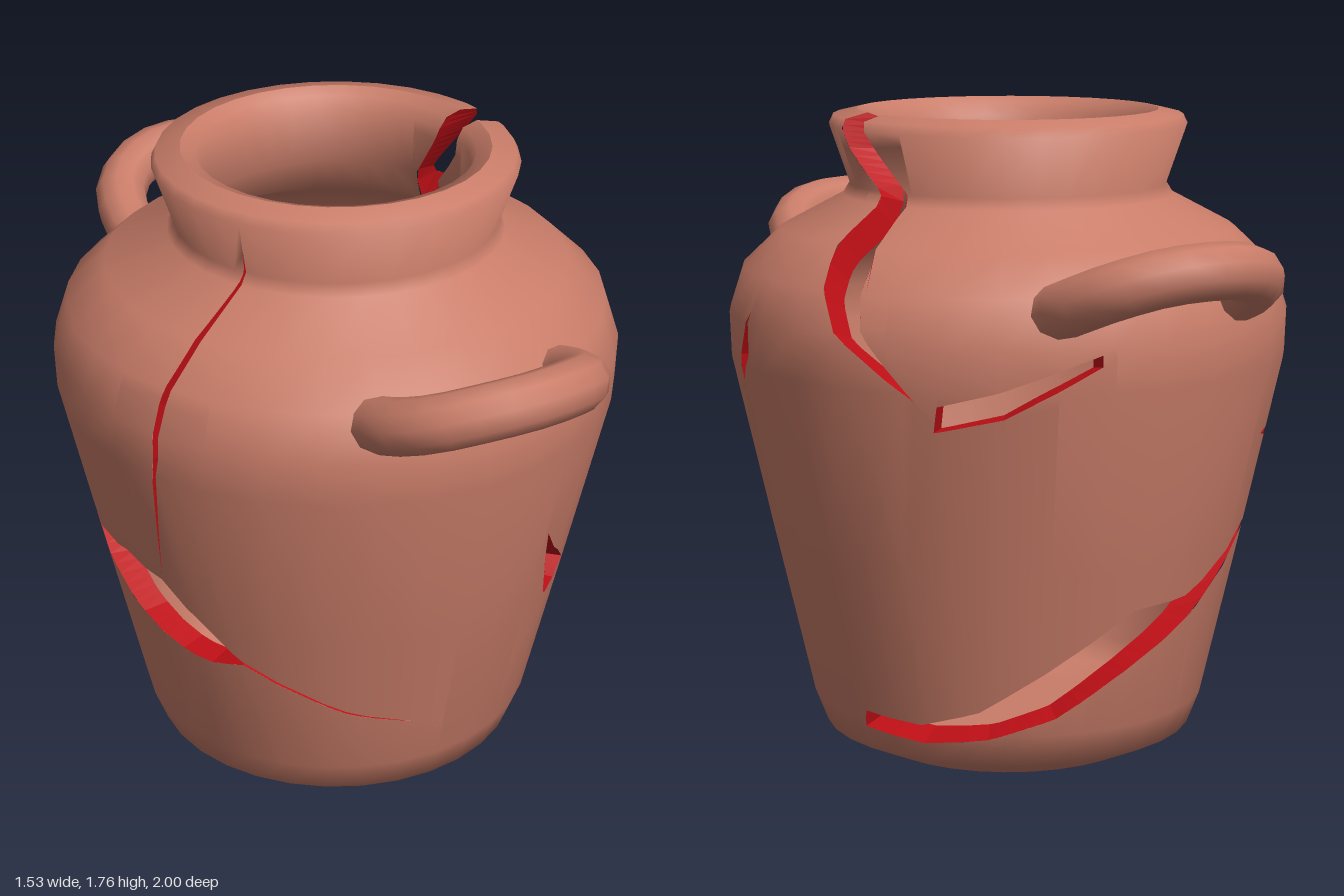
import * as THREE from 'three';

const SIDES = 32, STEP = (Math.PI * 2) / SIDES, RAD = Math.PI / 180;

// Wall profile: [outer height, outer radius, inner radius, inner height]
const PROFILE = [
  [0, 0.38, 0.3, 0.08], [0.06, 0.51, 0.43, 0.1], [0.15, 0.545, 0.475, 0.17],
  [0.6, 0.648, 0.575, 0.6], [1.1, 0.76, 0.69, 1.1], [1.22, 0.764, 0.69, 1.2],
  [1.34, 0.725, 0.65, 1.3], [1.44, 0.62, 0.56, 1.38], [1.53, 0.45, 0.385, 1.47],
  [1.56, 0.432, 0.352, 1.56], [1.72, 0.487, 0.355, 1.71], [1.745, 0.475, 0.37, 1.745],
  [1.76, 0.41, 0.41, 1.76],
];

// Cracks as strips; each row: [angle, height] of one edge, then of the other
const CRACKS = {
  rimCrack: [[82, 1.76, 94, 1.76], [84, 1.67, 100, 1.68], [98, 1.55, 111, 1.55],
    [104, 1.4, 116, 1.4], [112, 1.24, 118, 1.25], [129.5, 1.08, 129.5, 1.08]],
  sideSliver: [[83.5, 1.25, 83.5, 1.25], [79, 1.13, 83, 1.13], [78, 1.05, 78, 1.05]],
  backUpperCrack: [[134, 1.07, 133, 1.0], [146, 1.11, 147, 1.04], [166, 1.2, 166, 1.17]],
  lowerCrack: [[104, 0.18, 102.5, 0.13], [123, 0.17, 123, 0.115], [140, 0.22, 142, 0.14],
    [157, 0.33, 161, 0.2], [180, 0.49, 180, 0.32], [197, 0.5, 199, 0.43], [234, 0.7, 234, 0.7]],
  frontChip: [[24, 0.81, 24, 0.81], [26.5, 0.71, 30.5, 0.72], [32, 0.56, 44, 0.6],
    [33, 0.55, 40, 0.555]],
  leftCrack: [[242, 0.735, 242, 0.735], [258, 0.73, 258, 0.63], [274, 0.75, 274, 0.54],
    [286, 0.72, 288, 0.49], [294, 0.64, 297, 0.48], [306, 0.515, 306, 0.505],
    [332, 0.365, 332, 0.359], [354, 0.29, 354, 0.29]],
  backChip: [[221, 0.9, 221, 0.9], [230, 0.92, 230, 0.87]],
  shoulderCrack: [[298, 1.62, 298, 1.62], [295.6, 1.52, 296.8, 1.52], [294.4, 1.44, 296, 1.44],
    [292.3, 1.3, 293.8, 1.3], [291.8, 1.15, 293, 1.15], [286.5, 0.74, 286.5, 0.74]],
};

// Radius and height at profile position v; d runs from outside (0) to inside (1)
function section(v, d) {
  v = Math.min(Math.max(v, 0), 1.76);
  let i = 0;
  while (i < PROFILE.length - 2 && v > PROFILE[i + 1][0]) i++;
  const a = PROFILE[i], b = PROFILE[i + 1], t = (v - a[0]) / (b[0] - a[0]);
  const mix = (k) => a[k] + (b[k] - a[k]) * t;
  return [mix(1) * (1 - d) + mix(2) * d, mix(0) * (1 - d) + mix(3) * d];
}

// Point on the many-sided wall
function wallPoint(deg, v, d) {
  const a = deg * RAD, [r, y] = section(v, d);
  const local = a - Math.floor(a / STEP + 1e-9) * STEP - STEP / 2;
  const f = (r * Math.cos(STEP / 2)) / Math.cos(local);
  return [f * Math.sin(a), y, f * Math.cos(a)];
}

function wallNormal(deg, v, d) {
  const a = deg * RAD, p = section(v - 0.03, d), q = section(v + 0.03, d);
  const s = d ? -1 : 1, dr = q[0] - p[0], dy = q[1] - p[1], l = Math.hypot(dr, dy) || 1;
  return [(s * dy * Math.sin(a)) / l, (-s * dr) / l, (s * dy * Math.cos(a)) / l];
}

const area = (p) => p.reduce((s, a, i) => {
  const b = p[(i + 1) % p.length];
  return s + (a[0] * b[1] - a[1] * b[0]) / 2;
}, 0);

// Keep the part of a polygon on one side of the line a-b
function clip(poly, a, b, sign) {
  const side = (p) => sign * ((b[0] - a[0]) * (p[1] - a[1]) - (b[1] - a[1]) * (p[0] - a[0]));
  const out = [];
  poly.forEach((p, i) => {
    const q = poly[(i + 1) % poly.length], s = side(p), t = side(q);
    if (s >= 0) out.push(p);
    if (s * t < 0) {
      const k = s / (s - t);
      out.push([p[0] + (q[0] - p[0]) * k, p[1] + (q[1] - p[1]) * k]);
    }
  });
  return out;
}

// Cut a convex hole out of a convex polygon, leaving convex pieces
function subtract(poly, hole) {
  const sign = Math.sign(area(hole)), pieces = [];
  let rest = poly;
  hole.forEach((a, i) => {
    const b = hole[(i + 1) % hole.length];
    if (Math.hypot(b[0] - a[0], b[1] - a[1]) < 1e-9) return;
    const outside = clip(rest, a, b, -sign);
    if (outside.length > 2 && area(outside) > 1e-7) pieces.push(outside);
    rest = clip(rest, a, b, sign);
  });
  return rest.length > 2 && area(rest) > 1e-6 ? pieces : [poly];
}

function geometryFrom(positions, normals) {
  const g = new THREE.BufferGeometry();
  g.setAttribute('position', new THREE.Float32BufferAttribute(positions, 3));
  if (normals) g.setAttribute('normal', new THREE.Float32BufferAttribute(normals, 3));
  else g.computeVertexNormals();
  return g;
}

// One skin of the wall, with the cracks cut out
function skin(holes, d) {
  const pos = [], nor = [], w = 360 / SIDES;
  for (let c = 0; c < SIDES; c++) {
    for (let r = 0; r < PROFILE.length - 1; r++) {
      const v0 = PROFILE[r][0], v1 = PROFILE[r + 1][0], a0 = c * w, a1 = a0 + w;
      let polys = [[[a0, v0], [a1, v0], [a1, v1], [a0, v1]]];
      for (const h of holes) polys = polys.flatMap((p) => subtract(p, h));
      for (const p of polys) {
        for (let i = 1; i < p.length - 1; i++) {
          const tri = d ? [p[0], p[i + 1], p[i]] : [p[0], p[i], p[i + 1]];
          for (const [a, v] of tri) {
            // nudge toward the cell so its right edge stays on its own facet
            pos.push(...wallPoint(a, v, d));
            nor.push(...wallNormal(a, v, d));
          }
        }
      }
    }
  }
  return geometryFrom(pos, nor);
}

// Broken faces joining the outer and inner skins around a crack
function brokenEdge(rows) {
  const left = rows.map((r) => [r[0], r[1]]), right = rows.map((r) => [r[2], r[3]]);
  const loop = [...left, ...right.reverse()], pos = [], N = 6;
  loop.forEach((a, i) => {
    const b = loop[(i + 1) % loop.length];
    if ((a[0] === b[0] && a[1] === b[1]) || (a[1] === 1.76 && b[1] === 1.76)) return;
    const at = (k, d) => wallPoint(a[0] + ((b[0] - a[0]) * k) / N, a[1] + ((b[1] - a[1]) * k) / N, d);
    for (let k = 0; k < N; k++) {
      const p = at(k, 0), q = at(k + 1, 0), r = at(k + 1, 1), s = at(k, 1);
      pos.push(...p, ...q, ...r, ...p, ...r, ...s);
    }
  });
  return geometryFrom(pos);
}

export function createModel() {
  const pot = new THREE.Group();
  pot.name = 'crackedPot';
  const clay = new THREE.MeshStandardMaterial({ color: 0xc87c68 });
  const broken = new THREE.MeshStandardMaterial({ color: 0xbe0f16, side: THREE.DoubleSide });
  const add = (name, geometry, material, parent = pot) => {
    const mesh = new THREE.Mesh(geometry, material);
    mesh.name = name;
    parent.add(mesh);
    return mesh;
  };

  // Wall with neck and rim
  const holes = Object.values(CRACKS).flatMap((rows) => rows.slice(1).map((b, i) => {
    const a = rows[i];
    return [[a[0], a[1]], [a[2], a[3]], [b[2], b[3]], [b[0], b[1]]];
  }));
  add('outerWall', skin(holes, 0), clay);
  add('innerWall', skin(holes, 1), clay);
  for (const [name, rows] of Object.entries(CRACKS)) add(name, brokenEdge(rows), broken);

  // Base and inner floor
  add('base', new THREE.CircleGeometry(0.38, SIDES).rotateX(Math.PI / 2), clay);
  add('floor', new THREE.CircleGeometry(0.3, SIDES).rotateX(-Math.PI / 2), clay).position.y = 0.08;

  // Two loop handles, front and back
  const half = [[0.27, 1.29, 0.62], [0.265, 1.33, 0.73], [0.22, 1.375, 0.835], [0.12, 1.41, 0.905]];
  const path = [...half, [0, 1.42, 0.928], ...half.map(([x, y, z]) => [-x, y, z]).reverse()];
  const curve = new THREE.CatmullRomCurve3(path.map((p) => new THREE.Vector3(...p)));
  for (const [name, turn] of [['frontHandle', 0], ['backHandle', Math.PI]]) {
    const handle = new THREE.Group();
    handle.name = name;
    handle.rotation.y = turn;
    pot.add(handle);
    add('loop', new THREE.TubeGeometry(curve, 14, 0.073, 10), clay, handle);
    for (const t of [0, 1]) {
      const cap = add('loopEnd', new THREE.CircleGeometry(0.073, 10), clay, handle);
      cap.position.copy(curve.getPoint(t));
      cap.lookAt(cap.position.clone().addScaledVector(curve.getTangent(t), t ? 1 : -1).applyAxisAngle(new THREE.Vector3(0, 1, 0), turn));
    }
  }
  return pot;
}
